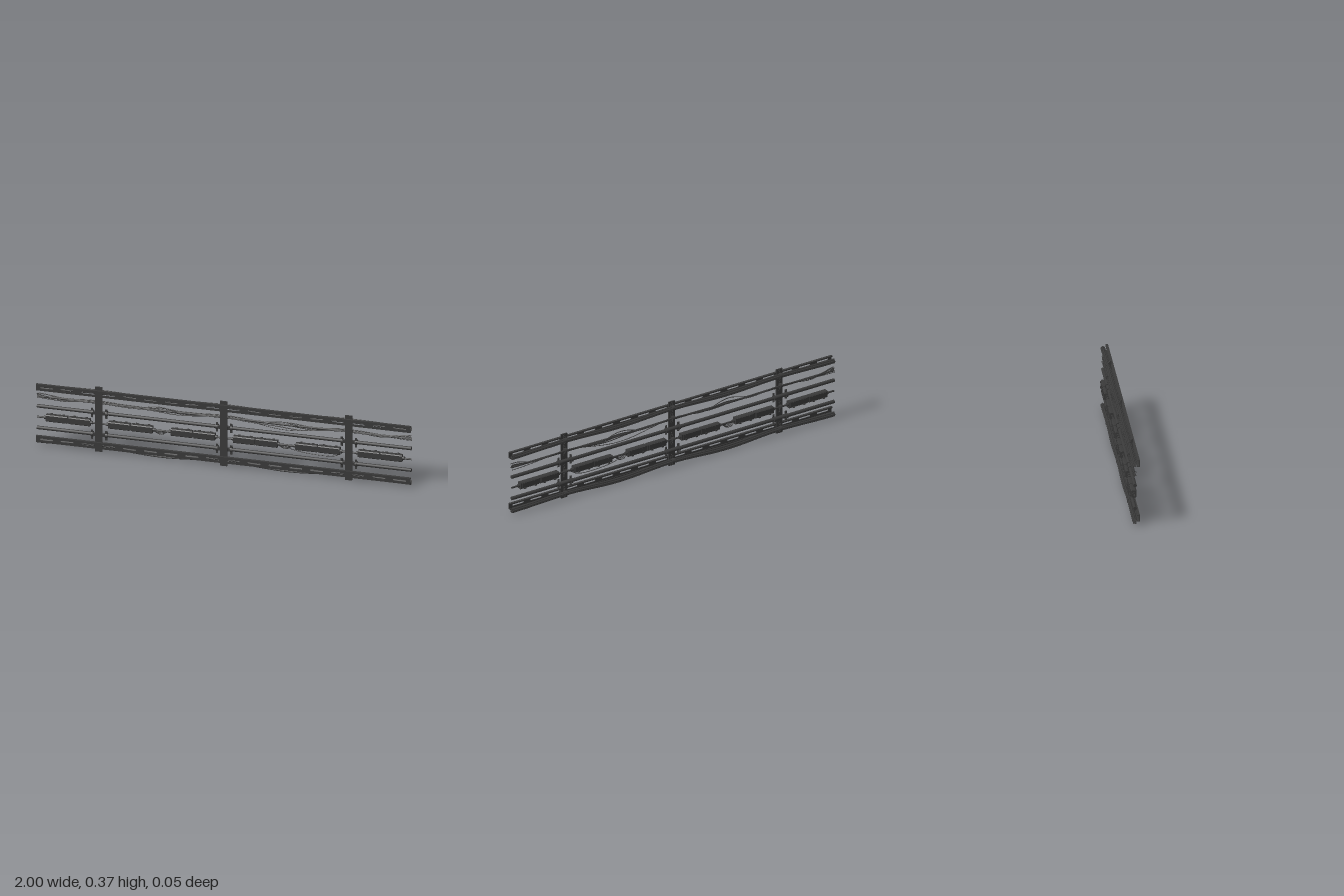
import * as THREE from 'three';

const material = new THREE.MeshStandardMaterial({ color: 0x3a3a3a, side: THREE.DoubleSide });
const POSTS = [-0.667, 0, 0.667];
const SPAN = 0.667;

export function createModel() {
  const model = new THREE.Group();

  const add = (name, geometry, x = 0, y = 0, z = 0, parent = model) => {
    const mesh = new THREE.Mesh(geometry, material);
    mesh.name = name;
    mesh.position.set(x, y, z);
    parent.add(mesh);
    return mesh;
  };
  const box = (name, w, h, d, x, y, z, parent) => add(name, new THREE.BoxGeometry(w, h, d), x, y, z, parent);
  const rod = (name, r, length, x, y, z, sides = 14, parent) =>
    add(name, new THREE.CylinderGeometry(r, r, length, sides).rotateZ(Math.PI / 2), x, y, z, parent);
  const tube = (name, points, r, segments = 60) =>
    add(name, new THREE.TubeGeometry(new THREE.CatmullRomCurve3(points), segments, r, 7));
  const v = (x, y, z) => new THREE.Vector3(x, y, z);

  // Cable over the full length, sagging between the posts
  const hangingCable = (name, y, z, r, sag, wobble = 0, phase = 0) => {
    const points = [];
    for (let i = 0; i <= 60; i++) {
      const x = -1 + i / 30;
      const t = (((x + 2 * SPAN) / SPAN) % 1 + 1) % 1;
      const span = Math.min(3, Math.floor((x + 2 * SPAN) / SPAN));
      const drop = Math.sin(Math.PI * t) ** 2;
      points.push(v(x, y - sag[span] * drop + wobble * drop * Math.sin(t * 10 + phase), z + wobble * 0.2 * drop * Math.cos(t * 7 + phase)));
    }
    tube(name, points, r, 120);
  };

  // Slotted channel rails, web towards the front
  const slottedWeb = () => {
    const s = new THREE.Shape();
    s.moveTo(-1, -0.0175); s.lineTo(1, -0.0175); s.lineTo(1, 0.0175); s.lineTo(-1, 0.0175); s.closePath();
    for (let i = 0; i < 18; i++) {
      const x = -0.944 + i * 0.111, half = 0.03, r = 0.005;
      const slot = new THREE.Path();
      slot.absarc(x + half, 0, r, -Math.PI / 2, Math.PI / 2, false);
      slot.absarc(x - half, 0, r, Math.PI / 2, Math.PI * 1.5, false);
      slot.closePath();
      s.holes.push(slot);
    }
    return new THREE.ExtrudeGeometry(s, { depth: 0.003, bevelEnabled: false, curveSegments: 5 });
  };
  for (const y of [0.337, 0.041]) {
    const rail = new THREE.Group();
    rail.name = 'channelRail';
    rail.position.y = y;
    add('railWeb', slottedWeb(), 0, 0, 0.022, rail);
    for (const s of [-1, 1]) {
      box('railFlange', 2, 0.003, 0.014, 0, s * 0.016, 0.018, rail);
      box('railLip', 2, 0.007, 0.002, 0, s * 0.014, 0.012, rail);
    }
    model.add(rail);
  }

  // Upright posts with bolts
  for (const x of POSTS) {
    box('post', 0.038, 0.37, 0.007, x, 0.188, 0.0105);
    for (const y of [0.365, 0.31, 0.25, 0.19, 0.125, 0.065]) {
      add('postBolt', new THREE.CylinderGeometry(0.005, 0.005, 0.004, 6).rotateX(Math.PI / 2), x, y, 0.005);
    }
  }

  // Ring clamp with top and bottom tabs
  const clamp = (x, y, r, width) => {
    const g = new THREE.Group();
    g.name = 'pipeClamp';
    g.position.set(x, y, -0.001);
    rod('clampRing', r, width, 0, 0, 0, 16, g);
    box('clampPlate', width, 0.052, 0.004, 0, 0, 0.006, g);
    for (const s of [-1, 1]) {
      add('clampBolt', new THREE.CylinderGeometry(0.0035, 0.0035, 0.005, 6).rotateX(Math.PI / 2), 0, s * 0.021, 0.002, g);
    }
    model.add(g);
  };

  // Two straight pipes, clamped on both sides of each post
  for (const y of [0.219, 0.095]) {
    rod('pipe', 0.0095, 2, 0, y, -0.001);
    for (const x of POSTS) {
      box('pipeBracket', 0.088, 0.016, 0.006, x, y, 0.006);
      for (const s of [-1, 1]) clamp(x + s * 0.038, y, 0.0143, 0.011);
    }
  }

  // Upper and lower cable bundles held at the posts
  const bundles = [
    { y: 0.338, sag: [0.008, 0.012, 0.012, 0.007] },
    { y: 0.032, sag: [0.01, 0.017, 0.017, 0.009] },
  ];
  for (const { y, sag } of bundles) {
    for (let i = 0; i < 5; i++) {
      const a = i * Math.PI * 0.4 + 0.4;
      hangingCable('bundleCable', y + Math.sin(a) * 0.0075, -0.002 + Math.cos(a) * 0.0075, 0.0052, sag.map(d => d * (0.75 + 0.06 * i)));
    }
    for (const x of POSTS) clamp(x, y, 0.0145, 0.014);
  }

  // Straight conduit with loose wires
  hangingCable('conduit', 0.275, -0.001, 0.0055, [0, 0.003, 0.003, 0]);
  for (let i = 0; i < 3; i++) {
    hangingCable('looseWire', 0.283 - i * 0.004, -0.008 + i * 0.006, 0.0025,
      [0.005, 0.012, 0.012 + i * 0.004, 0.006], 0.013 - i * 0.003, 2.8 + i * 0.6);
  }
  hangingCable('saggingWire', 0.28, -0.007, 0.0018, [0.012, 0.004, 0.04, 0.018]);
  hangingCable('wavyWire', 0.279, 0.002, 0.0022, [0.01, 0.008, 0.014, 0.01], -0.024, 0);
  for (const x of POSTS) clamp(x, 0.28, 0.0135, 0.014);

  // Paired equipment boxes along the middle line
  const profile = new THREE.Shape();
  const w = 0.014, h = 0.019, c = 0.004;
  [[-w + c, -h], [w - c, -h], [w, -h + c], [w, h - c], [w - c, h], [-w + c, h], [-w, h - c], [-w, -h + c]]
    .forEach(([a, b], i) => (i ? profile.lineTo(a, b) : profile.moveTo(a, b)));
  profile.closePath();
  const caseGeometry = new THREE.ExtrudeGeometry(profile, { depth: 0.114, bevelEnabled: false })
    .translate(0, 0, -0.057).rotateY(Math.PI / 2);
  rod('middleCable', 0.005, 2, 0, 0.157, -0.001, 10);
  for (let i = 0; i < 6; i++) {
    const unit = new THREE.Group();
    unit.name = 'equipmentUnit';
    unit.position.set(-0.833 + i * 0.3333, 0.158, -0.002);
    box('unitNeck', 0.012, 0.03, 0.022, 0, 0, 0, unit);
    for (const s of [-1, 1]) {
      add('unitCase', caseGeometry, s * 0.061, 0, 0, unit);
      box('unitCover', 0.1, 0.03, 0.003, s * 0.061, 0, -0.015, unit);
      rod('cableGland', 0.009, 0.012, s * 0.123, 0, 0, 10, unit);
      for (const t of [-1, 1]) {
        box('coverLatch', 0.012, 0.008, 0.006, s * 0.061 + t * 0.032, 0.014, -0.017, unit);
        box('coverHinge', 0.012, 0.008, 0.006, s * 0.061 + t * 0.032, -0.014, -0.017, unit);
      }
    }
    model.add(unit);
  }

  // Brackets that carry the middle line on the posts
  for (const x of POSTS) clamp(x, 0.157, 0.012, 0.014);

  // Loose link wires between neighbouring units
  for (const x of [-0.333, 0.333]) {
    for (let i = 0; i < 3; i++) {
      const d = 0.008 + i * 0.006;
      tube('linkWire', [v(x - 0.05, 0.157, 0), v(x - 0.025, 0.157 - d, -0.004 * i), v(x, 0.157 - d * 1.1, -0.004),
        v(x + 0.025, 0.162 - d * 0.5, 0.002), v(x + 0.05, 0.157, 0)], 0.0022, 24);
    }
  }
  tube('droopingWire', [v(0.3, 0.155, -0.004), v(0.37, 0.132, -0.006), v(0.48, 0.12, -0.004),
    v(0.59, 0.126, -0.002), v(0.64, 0.155, -0.001)], 0.0018, 40);

  return model;
}
